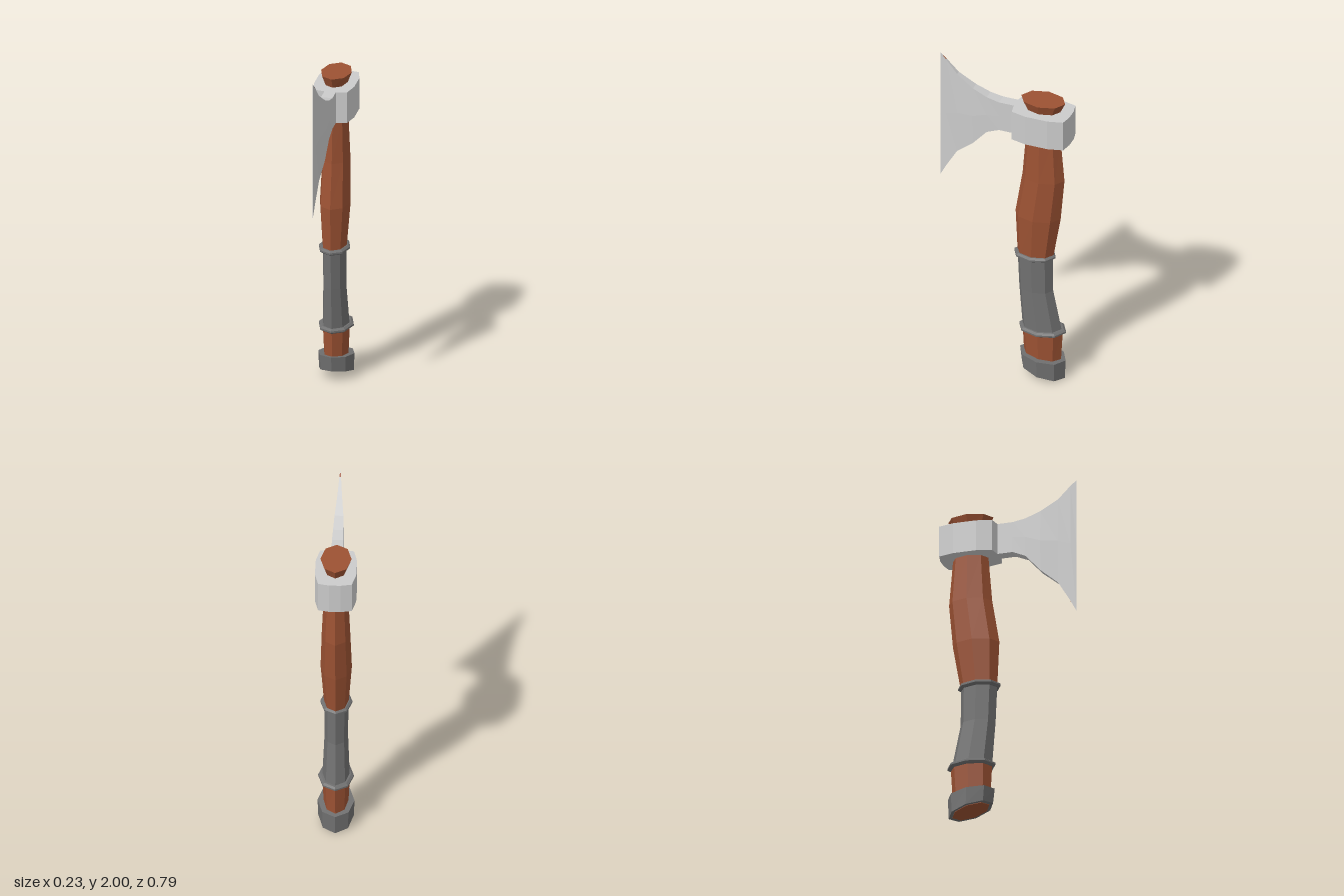
import * as THREE from 'three';

const wood = new THREE.MeshStandardMaterial({ color: 0x9c5233, flatShading: true });
const steel = new THREE.MeshStandardMaterial({ color: 0xcccccc, flatShading: true });
const dark = new THREE.MeshStandardMaterial({ color: 0x707070, flatShading: true });

// Skin a stack of equal-sized loops of points and close both ends
function loft(name, loops, material) {
  const pos = [];
  const n = loops[0].length;
  const tri = (...pts) => pts.forEach((p) => pos.push(...p));
  const centre = (loop) => [0, 1, 2].map((k) => loop.reduce((s, p) => s + p[k], 0) / n);
  const first = loops[0], last = loops[loops.length - 1];
  for (let i = 0; i < n; i++) {
    const j = (i + 1) % n;
    for (let r = 0; r < loops.length - 1; r++) {
      const a = loops[r], b = loops[r + 1];
      tri(a[i], a[j], b[j]);
      tri(a[i], b[j], b[i]);
    }
    tri(centre(first), first[j], first[i]);
    tri(centre(last), last[i], last[j]);
  }
  const geo = new THREE.BufferGeometry();
  geo.setAttribute('position', new THREE.Float32BufferAttribute(pos, 3));
  geo.computeVertexNormals();
  const mesh = new THREE.Mesh(geo, material);
  mesh.name = name;
  return mesh;
}

// Eight-sided section between a front and a back z, optionally tilted
function octagon([yFront, yBack, zFront, zBack, halfX]) {
  const loop = [];
  for (let i = 0; i < 8; i++) {
    const a = (i * Math.PI) / 4, c = Math.cos(a);
    loop.push([
      halfX * Math.sin(a),
      (yFront + yBack) / 2 + (c * (yFront - yBack)) / 2,
      (zFront + zBack) / 2 + (c * (zFront - zBack)) / 2,
    ]);
  }
  return loop;
}
const level = ([y, zFront, zBack, halfX]) => octagon([y, y, zFront, zBack, halfX]);

// Raised band with a bevelled rim
function band(name, y, zFront, zBack, halfX) {
  const rows = [[-0.014, 0.013], [-0.005, 0], [0.005, 0], [0.014, 0.013]];
  return loft(name, rows.map(([dy, inset]) =>
    level([y + dy, zFront - inset, zBack + inset, halfX - inset])), dark);
}

export function createModel() {
  const group = new THREE.Group();

  // Curved wooden handle, flared at the top
  group.add(loft('upperHandle', [
    [0.795, -0.07, -0.285, 0.069],
    [1.06, -0.058, -0.33, 0.088],
    [1.32, -0.1, -0.353, 0.08],
    [1.59, -0.122, -0.33, 0.068],
    [1.775, -0.122, -0.328, 0.065],
    [1.835, -0.093, -0.357, 0.088],
  ].map(level), wood));
  group.add(loft('lowerHandle', [
    octagon([0.067, 0.016, -0.115, -0.335, 0.08]),
    octagon([0.155, 0.12, -0.108, -0.332, 0.07]),
    level([0.31, -0.1, -0.343, 0.078]),
  ], wood));

  // Wrapped grip with a band at each end
  group.add(loft('grip', [
    [0.31, -0.1, -0.338, 0.077],
    [0.57, -0.08, -0.285, 0.066],
    [0.795, -0.07, -0.283, 0.068],
  ].map(level), dark));
  group.add(band('upperBand', 0.795, -0.05, -0.3, 0.09));
  group.add(band('lowerBand', 0.31, -0.08, -0.363, 0.1));

  // Slanted pommel; the wood shows through underneath
  group.add(loft('pommel', [
    octagon([0.068, 0.003, -0.095, -0.355, 0.1]),
    octagon([0.155, 0.12, -0.085, -0.36, 0.104]),
  ], dark));
  group.add(loft('pommelPlug', [
    octagon([0.059, 0.006, -0.117, -0.333, 0.083]),
    octagon([0.1, 0.06, -0.117, -0.333, 0.083]),
  ], wood));

  // Collar of the axe head
  const half = [[0.033, -0.06], [0.095, -0.072], [0.116, -0.16],
    [0.116, -0.295], [0.095, -0.382], [0.033, -0.395]];
  const outline = [...half, ...half.map(([x, z]) => [-x, z]).reverse()];
  group.add(loft('headCollar',
    [1.59, 1.775].map((y) => outline.map(([x, z]) => [x, y, z])), steel));

  // Flaring blade: z, bottom, top, half thickness at the edges and the middle
  const stations = [
    [-0.07, 1.59, 1.775, 0.033, 0.033],
    [0.03, 1.59, 1.775, 0.033, 0.033],
    [0.105, 1.557, 1.79, 0.03, 0.032],
    [0.19, 1.46, 1.825, 0.025, 0.029],
    [0.29, 1.375, 1.89, 0.013, 0.016],
    [0.36, 1.257, 1.967, 0.005, 0.007],
    [0.395, 1.19, 2.0, 0.0005, 0.0005],
  ];
  group.add(loft('blade', stations.map(([z, y0, y1, t, m]) => {
    const mid = (y0 + y1) / 2;
    return [[t, y0, z], [m, mid, z], [t, y1, z], [-t, y1, z], [-m, mid, z], [-t, y0, z]];
  }), steel));

  // Small brown facets on the blade's two points
  const tipMaterial = wood.clone();
  tipMaterial.side = THREE.DoubleSide;
  for (const [name, yIn, yOut] of [['upperTip', 1.968, 2.0], ['lowerTip', 1.256, 1.19]]) {
    const geo = new THREE.BufferGeometry();
    geo.setAttribute('position', new THREE.Float32BufferAttribute(
      [-0.005, yIn, 0.36, 0.005, yIn, 0.36, 0, yOut, 0.396], 3));
    geo.computeVertexNormals();
    const tip = new THREE.Mesh(geo, tipMaterial);
    tip.name = name;
    group.add(tip);
  }
  return group;
}
